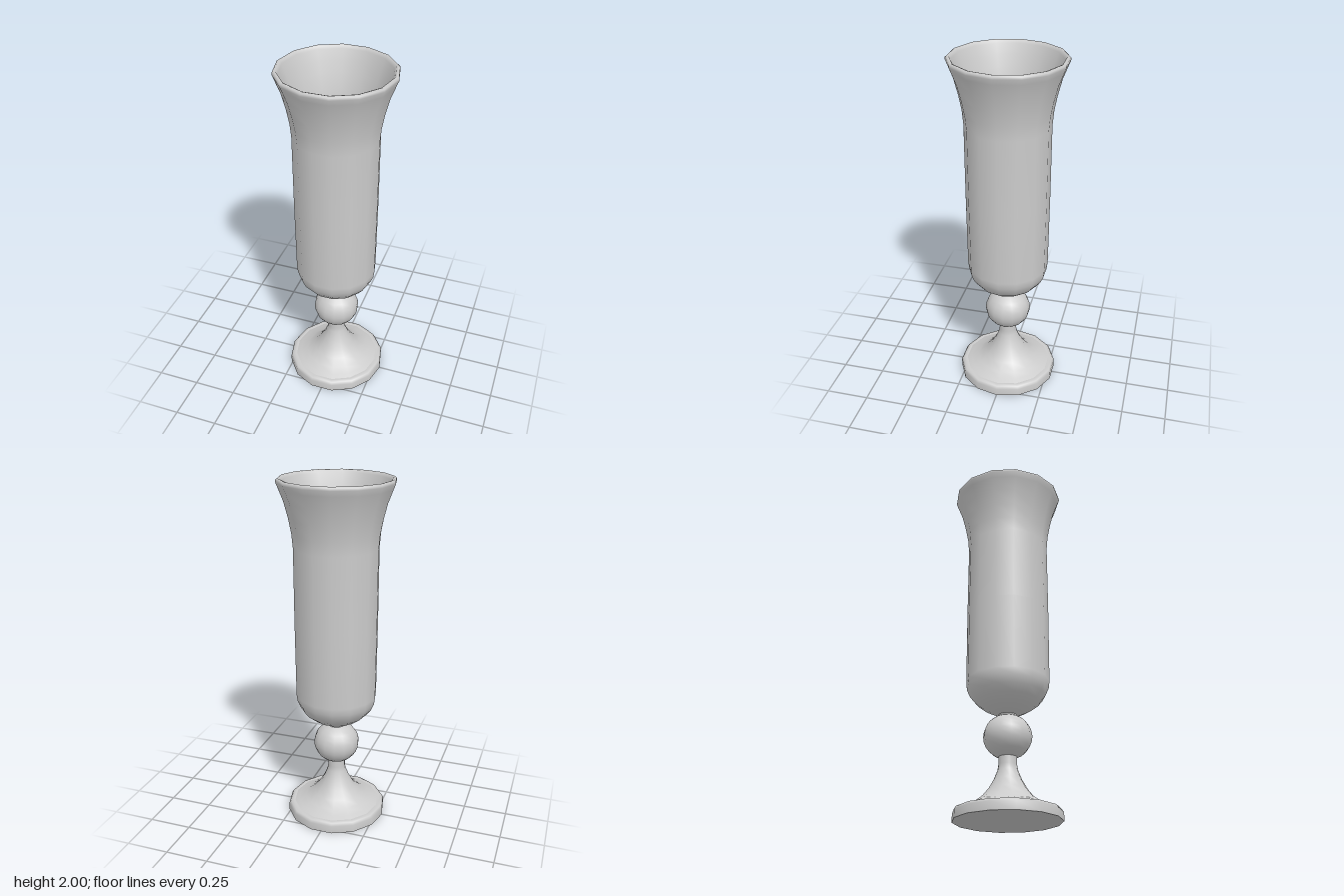
import * as THREE from 'three';

const SIDES = 14;
const material = new THREE.MeshStandardMaterial({ color: 0xcccccc });

// Revolve [radius, height] points, listed bottom to top on the outside
function turned(name, points) {
  const profile = points.map(([r, y]) => new THREE.Vector2(r, y));
  const mesh = new THREE.Mesh(new THREE.LatheGeometry(profile, SIDES, Math.PI / 2), material);
  mesh.name = name;
  return mesh;
}

export function createModel() {
  const group = new THREE.Group();
  group.name = 'footedVase';

  // Base disc: flat underside, rim with a softened top edge
  group.add(turned('baseUnderside', [[0, 0], [0.29, 0]]));
  group.add(turned('baseRim', [[0.29, 0], [0.29, 0.045], [0.28, 0.06], [0.262, 0.064], [0.235, 0.06]]));

  // Flared foot narrowing into the stem
  group.add(turned('foot', [
    [0.26, 0.06], [0.23, 0.073], [0.185, 0.092], [0.14, 0.125], [0.105, 0.168],
    [0.075, 0.22], [0.055, 0.27], [0.05, 0.3], [0.05, 0.36],
  ]));

  // Round knop on the stem, open where the stem passes through
  const knop = [];
  for (let i = 0; i <= 10; i++) {
    const a = THREE.MathUtils.lerp(-1.18, 1.18, i / 10);
    knop.push([0.133 * Math.cos(a), 0.455 + 0.123 * Math.sin(a)]);
  }
  group.add(turned('knop', knop));
  group.add(turned('neck', [[0.05, 0.55], [0.05, 0.59]]));

  // Cup: outside wall, rounded lip, then inside wall down to a bowl floor
  group.add(turned('cup', [
    [0.045, 0.575], [0.085, 0.592], [0.135, 0.618], [0.18, 0.653], [0.21, 0.69],
    [0.227, 0.73], [0.232, 0.77], [0.235, 1.2], [0.235, 1.63], [0.242, 1.71],
    [0.257, 1.79], [0.28, 1.88], [0.307, 1.95], [0.319, 1.98], [0.318, 1.993],
    [0.309, 2], [0.299, 1.997], [0.291, 1.982], [0.272, 1.93], [0.248, 1.86],
    [0.225, 1.78], [0.209, 1.7], [0.203, 1.62], [0.201, 1.2], [0.2, 0.78],
    [0.192, 0.74], [0.17, 0.7], [0.13, 0.665], [0.07, 0.635], [0, 0.625],
  ]));

  return group;
}
